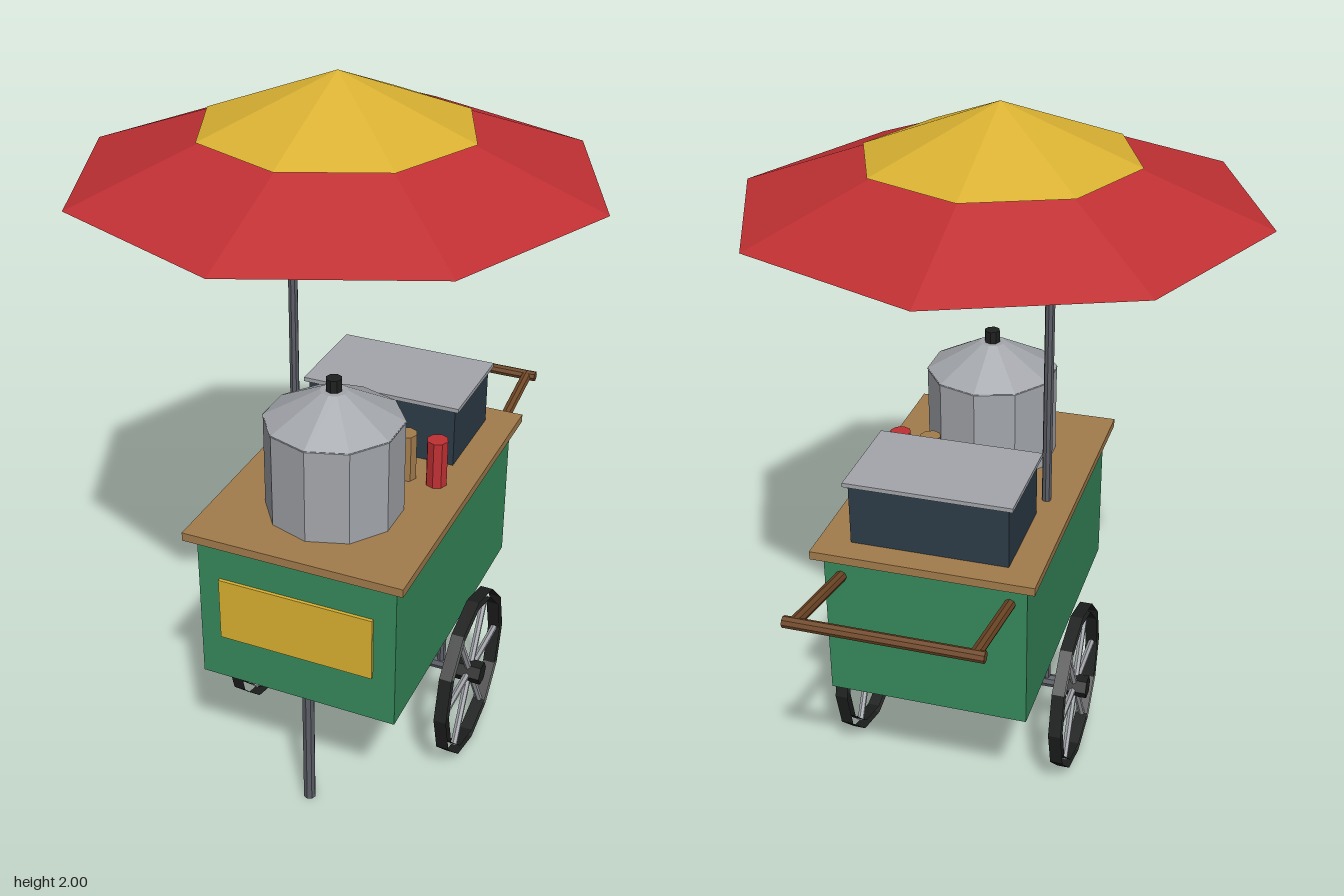
import * as THREE from 'three';

export function createModel() {
  const model = new THREE.Group();
  model.name = 'streetFoodCart';

  const mat = (name, color, side = THREE.FrontSide) => {
    const m = new THREE.MeshStandardMaterial({ color, flatShading: true, side });
    m.name = name;
    return m;
  };
  const green = mat('green', 0x35895b);
  const red = mat('red', 0xc03033);
  const yellow = mat('yellow', 0xdab132);
  const wood = mat('lightWood', 0xa27c4c);
  const brown = mat('darkWood', 0x6f4726);
  const steel = mat('steel', 0xa3a6ab);
  const navy = mat('navy', 0x2c3b48);
  const iron = mat('iron', 0x5b5e66);
  const black = mat('black', 0x1e1f1f, THREE.DoubleSide);

  const add = (name, geometry, material, x, y, z, parent = model) => {
    const mesh = new THREE.Mesh(geometry, material);
    mesh.name = name;
    mesh.position.set(x, y, z);
    parent.add(mesh);
    return mesh;
  };
  const box = (name, material, w, h, d, x, y, z) =>
    add(name, new THREE.BoxGeometry(w, h, d), material, x, y, z);
  // Upright cylinder given by its bottom and top heights
  const post = (name, material, r, y0, y1, x, z, sides = 8, rTop = r) =>
    add(name, new THREE.CylinderGeometry(rTop, r, y1 - y0, sides), material, x, (y0 + y1) / 2, z);
  // Round bar between two points
  const bar = (name, material, r, a, b, parent = model, sides = 8) => {
    const from = new THREE.Vector3(...a), to = new THREE.Vector3(...b);
    const dir = to.clone().sub(from);
    const mid = from.clone().add(to).multiplyScalar(0.5);
    const mesh = add(name, new THREE.CylinderGeometry(r, r, dir.length(), sides), material, mid.x, mid.y, mid.z, parent);
    mesh.quaternion.setFromUnitVectors(new THREE.Vector3(0, 1, 0), dir.normalize());
    return mesh;
  };

  const cx = 0.085; // centre line of the cart

  // Body, counter and front sign plate
  box('body', green, 0.565, 0.445, 0.896, cx, 0.6425, 0.043);
  box('counter', wood, 0.62, 0.024, 0.955, cx, 0.873, 0.043);
  box('frontPanel', yellow, 0.44, 0.186, 0.0095, cx, 0.653, 0.4957);

  // Pot with sloping lid and knob
  post('pot', steel, 0.187, 0.885, 1.155, cx, 0.24, 10);
  post('potLid', steel, 0.189, 1.153, 1.237, cx, 0.24, 10, 0.037);
  post('potKnob', black, 0.022, 1.237, 1.272, cx, 0.24, 8);

  // Storage box at the back of the counter
  box('storageBox', navy, 0.44, 0.175, 0.28, cx, 0.9725, -0.22);
  box('storageBoxLid', steel, 0.465, 0.012, 0.3, cx, 1.066, -0.22);

  // Sauce bottles
  post('redBottle', red, 0.03, 0.885, 1.023, 0.295, 0.025);
  post('brownBottle', wood, 0.03, 0.885, 1.023, 0.205, 0.025);

  // Umbrella
  post('umbrellaPole', iron, 0.0135, 0.885, 1.78, -0.143, 0);
  add('umbrellaCanopy', new THREE.ConeGeometry(0.704, 0.258, 8), red, 0, 1.861, 0.023);
  add('umbrellaTop', new THREE.ConeGeometry(0.368, 0.14, 8), yellow, 0, 1.93, 0.023);

  // Front leg, axle and axle supports
  post('frontLeg', iron, 0.0175, 0, 0.43, cx, 0.42);
  bar('axle', iron, 0.019, [cx - 0.325, 0.25, 0], [cx + 0.325, 0.25, 0]);
  for (const s of [-1, 1]) post('axleSupport', iron, 0.0125, 0.25, 0.43, cx + s * 0.238, 0);

  // Wheels: two open bands, three crossing spokes and a hub
  for (const s of [-1, 1]) {
    const wheel = new THREE.Group();
    wheel.name = s > 0 ? 'leftWheel' : 'rightWheel';
    wheel.position.set(cx + s * 0.326, 0.25, 0);
    for (const r of [0.249, 0.224]) {
      const band = add('tyreBand', new THREE.CylinderGeometry(r, r, 0.037, 12, 1, true), black, 0, 0, 0, wheel);
      band.rotation.z = Math.PI / 2;
    }
    for (let i = 0; i < 3; i++) {
      const a = (i * Math.PI) / 3, y = 0.225 * Math.sin(a), z = 0.225 * Math.cos(a);
      bar('spoke', steel, 0.01, [0, -y, -z], [0, y, z], wheel, 6);
    }
    const hub = add('hub', new THREE.CylinderGeometry(0.034, 0.034, 0.08, 6), black, 0, 0, 0, wheel);
    hub.rotation.z = Math.PI / 2;
    model.add(wheel);
  }

  // Push handle
  for (const s of [-1, 1]) {
    const x = cx + s * 0.235;
    bar('handleArm', brown, 0.016, [x, 0.797, -0.38], [x, 0.865, -0.72]);
  }
  bar('handleGrip', brown, 0.016, [cx - 0.263, 0.865, -0.718], [cx + 0.263, 0.865, -0.718]);

  return model;
}
